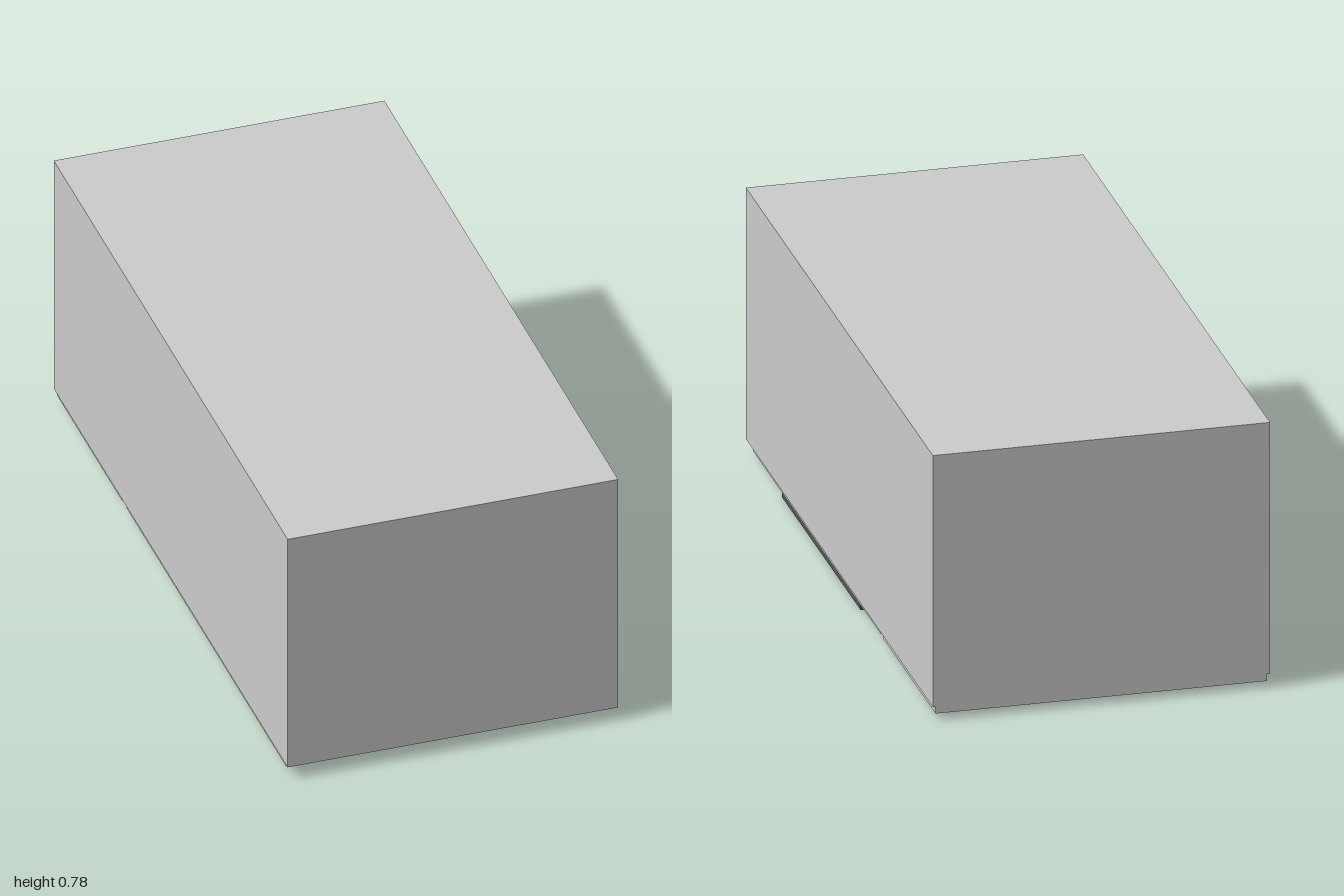
import * as THREE from 'three';

export function createModel() {
  const model = new THREE.Group();
  const grey = new THREE.MeshStandardMaterial({ color: 0xcccccc });
  const dark = new THREE.MeshStandardMaterial({ color: 0x555555 });

  // Box given by its lower and upper limits on each axis
  const block = (name, [x0, x1], [y0, y1], [z0, z1], material) => {
    const mesh = new THREE.Mesh(new THREE.BoxGeometry(x1 - x0, y1 - y0, z1 - z0), material);
    mesh.position.set((x0 + x1) / 2, (y0 + y1) / 2, (z0 + z1) / 2);
    mesh.name = name;
    model.add(mesh);
  };

  // Cabinet, lying with its doors facing down
  block('cabinet', [-0.473, 0.473], [0.04, 0.776], [-1, 1], grey);

  // Thin fronts on the underside
  const panelY = [0.019, 0.04];
  block('drawerFront', [-0.465, 0.465], panelY, [-0.998, -0.44], grey);
  block('rightDoor', [-0.465, -0.011], panelY, [-0.4, 0.963], grey);
  block('leftDoor', [0.008, 0.463], panelY, [-0.4, 0.963], grey);

  // Long bar handle along the same edge of each door
  const handleY = [0, 0.019], handleZ = [-0.178, 0.662];
  block('rightDoorHandle', [-0.029, -0.012], handleY, handleZ, dark);
  block('leftDoorHandle', [0.444, 0.46], handleY, handleZ, dark);

  return model;
}
